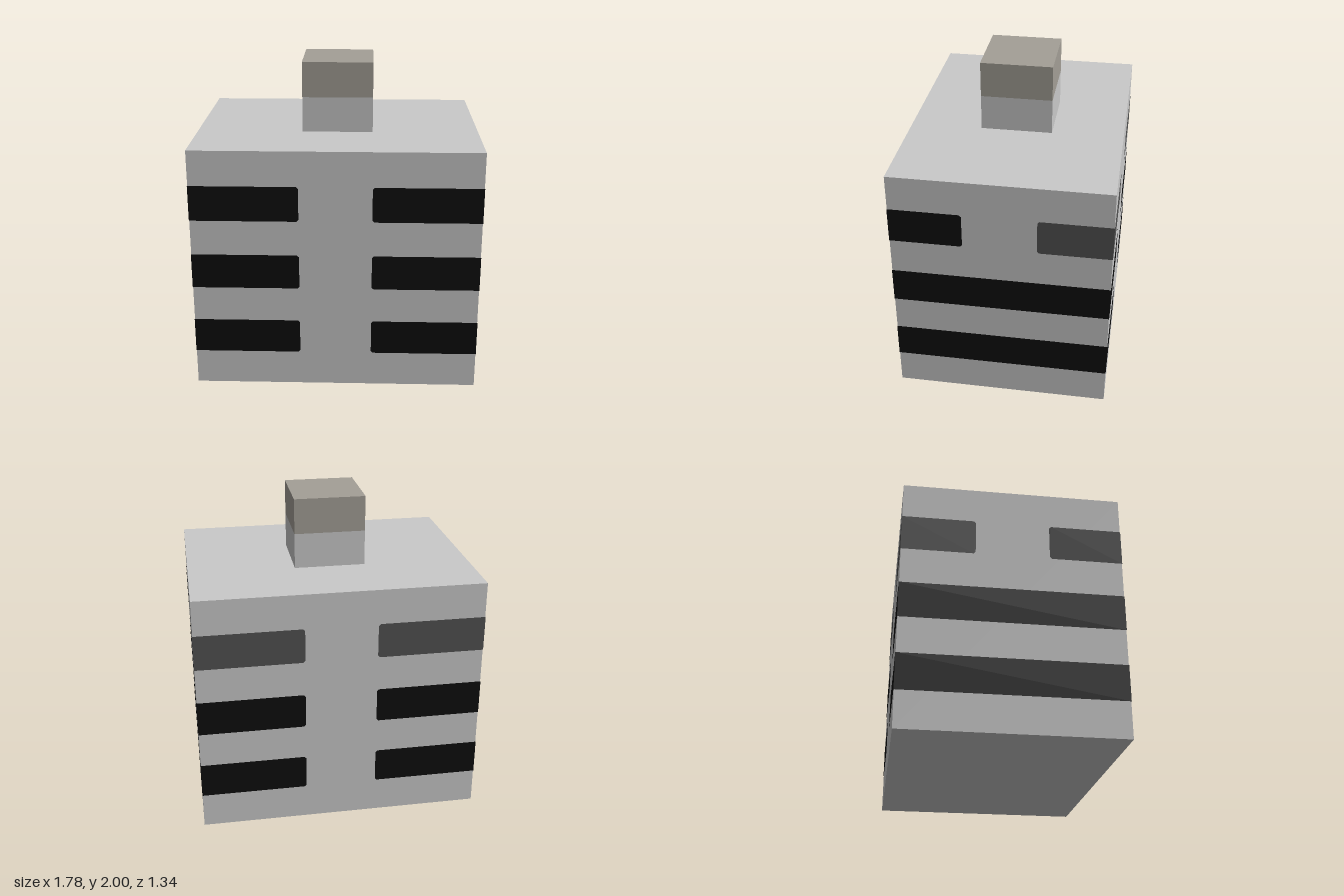
import * as THREE from 'three';

const W = 0.889, D = 0.667, H = 1.556; // half width, half depth, height of the body
const S = 0.222;                       // half width of the stub and of the gaps
const LIFT = 0.002;                    // stripes sit just proud of the walls

function material(name, color) {
  const m = new THREE.MeshStandardMaterial({ color });
  m.name = name;
  return m;
}

export function createModel() {
  const lightGrey = material('lightGrey', 0xc9c9c9);
  const taupe = material('taupe', 0xa39f96);
  const black = material('black', 0x0d0d0d);
  const darkGrey = material('darkGrey', 0x515151);

  const model = new THREE.Group();
  model.name = 'stripedBlock';

  function box(name, w, h, d, y, mat) {
    const mesh = new THREE.Mesh(new THREE.BoxGeometry(w, h, d), mat);
    mesh.name = name;
    mesh.position.y = y + h / 2;
    model.add(mesh);
  }
  box('body', 2 * W, H, 2 * D, 0, lightGrey);
  box('neck', 2 * S, S, 2 * S, H, lightGrey);
  box('cap', 2 * S, S, 2 * S, H + S, taupe);

  // Flat stripe from u0 to u1; ends marked as cut have small clipped corners
  function stripe(parent, name, u0, u1, y, cut0, cut1, mat) {
    const a = cut0 ? 0.012 : 0, b = cut1 ? 0.012 : 0, h = S;
    const shape = new THREE.Shape();
    shape.moveTo(u0 + a, 0);
    shape.lineTo(u1 - b, 0);
    if (b) { shape.lineTo(u1, b); shape.lineTo(u1, h - b); }
    shape.lineTo(u1 - b, h);
    shape.lineTo(u0 + a, h);
    if (a) { shape.lineTo(u0, h - a); shape.lineTo(u0, a); }
    shape.closePath();
    const mesh = new THREE.Mesh(new THREE.ShapeGeometry(shape), mat);
    mesh.name = name;
    mesh.position.y = y;
    parent.add(mesh);
  }

  // Each wall: its half width, distance from the centre, turn, and top-row colours
  const walls = [
    { name: 'front', half: W, dist: D, turn: 0, top: [black, black] },
    { name: 'left', half: D, dist: W, turn: Math.PI / 2, top: [black, darkGrey] },
    { name: 'back', half: W, dist: D, turn: Math.PI, top: [darkGrey, darkGrey] },
    { name: 'right', half: D, dist: W, turn: -Math.PI / 2, top: [darkGrey, black] },
  ];
  for (const wall of walls) {
    const group = new THREE.Group();
    group.name = wall.name + 'Stripes';
    group.rotation.y = wall.turn;
    group.position.set(Math.sin(wall.turn), 0, Math.cos(wall.turn)).multiplyScalar(wall.dist + LIFT);
    const edge = wall.half + LIFT;
    for (let row = 0; row < 3; row++) {
      const y = S * (1 + 2 * row) + 0.003;
      const isSide = wall.half === D;
      if (isSide && row < 2) {
        stripe(group, 'sideStripe', -edge, edge, y, false, false, black);
      } else {
        const [m0, m1] = row === 2 ? wall.top : [black, black];
        stripe(group, 'stripe', -edge, -S - 0.002, y, false, true, m0);
        stripe(group, 'stripe', S + 0.002, edge, y, true, false, m1);
      }
    }
    model.add(group);
  }
  return model;
}
